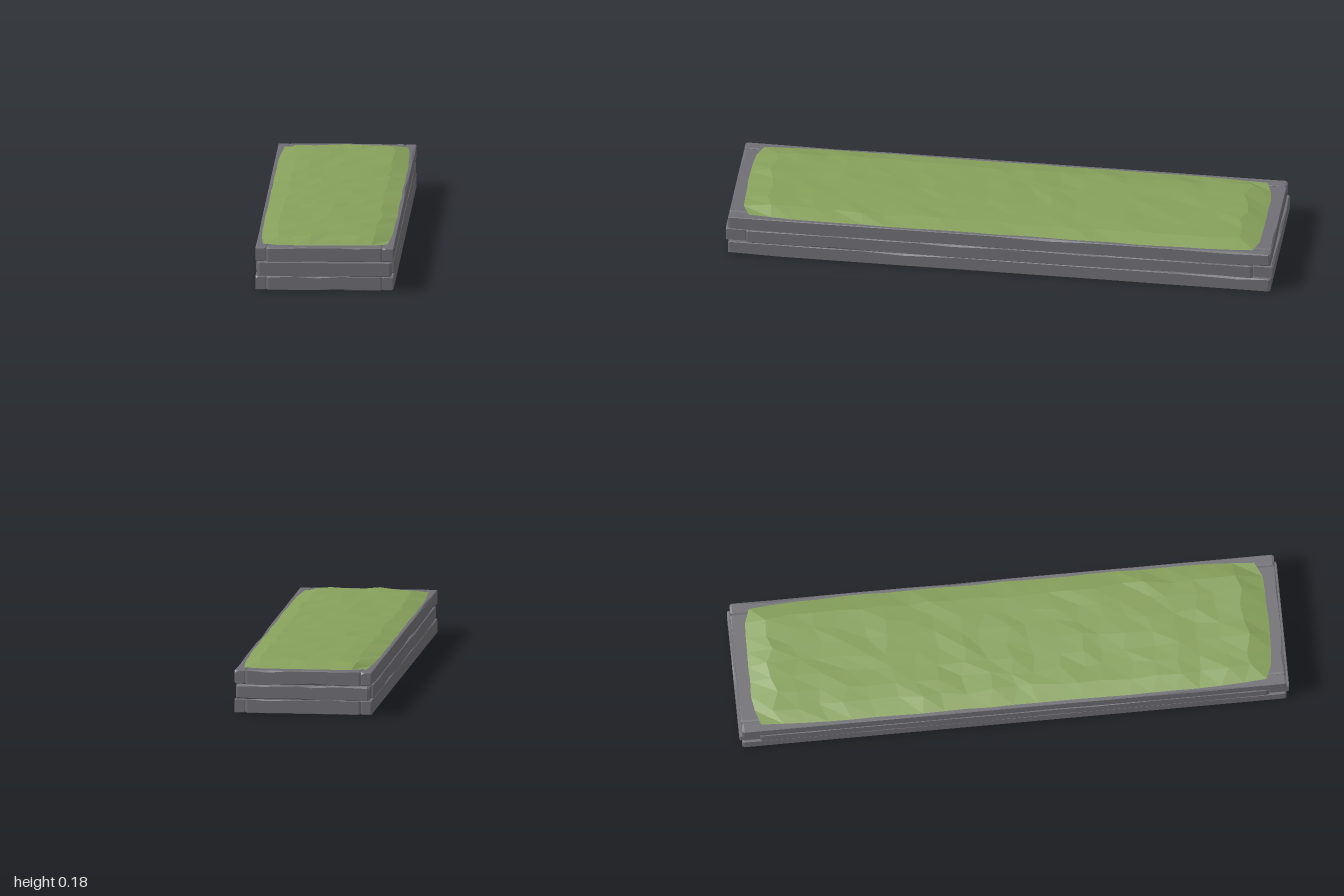
import * as THREE from 'three';

function seeded(seed) {
  let s = seed;
  return () => (s = (s * 16807) % 2147483647) / 2147483647;
}

// Rough-hewn beam along z: chamfered cross-sections lofted along the length
function beamGeometry(w, h, len, segs, rnd) {
  const pos = [], idx = [], N = 8;
  const bevel = Math.min(0.008, w * 0.2);
  const zs = [-len / 2, -len / 2 + bevel];
  for (let i = 1; i < segs; i++) zs.push(len * ((i + (rnd() - 0.5) * 0.5) / segs - 0.5));
  zs.push(len / 2 - bevel, len / 2);
  zs.forEach((z, i) => {
    const end = i === 0 || i === zs.length - 1;
    const a = w / 2 - (end ? 0.003 : 0), b = h / 2 - (end ? 0.003 : 0);
    for (const [sx, sy, flip] of [[1, 1, 0], [-1, 1, 1], [-1, -1, 0], [1, -1, 1]]) {
      // mostly crisp edges with an occasional chip
      const chip = rnd() < 0.2 ? 0.007 : 0.002;
      const cx = chip * (0.6 + rnd()), cy = chip * (0.5 + rnd() * 0.6);
      const side = [sx * a, sy * (b - cy), z], cap = [sx * (a - cx), sy * b, z];
      pos.push(...(flip ? cap : side), ...(flip ? side : cap));
    }
  });
  for (let i = 0; i < zs.length - 1; i++) {
    for (let j = 0; j < N; j++) {
      const k = (j + 1) % N, p = i * N, q = p + N;
      idx.push(p + j, p + k, q + k, p + j, q + k, q + j);
    }
  }
  const last = (zs.length - 1) * N;
  for (let j = 1; j < N - 1; j++) {
    idx.push(0, j + 1, j, last, last + j, last + j + 1);
  }
  const g = new THREE.BufferGeometry();
  g.setAttribute('position', new THREE.Float32BufferAttribute(pos, 3));
  g.setIndex(idx);
  const flat = g.toNonIndexed();
  flat.computeVertexNormals();
  return flat;
}

// Uneven turf sheet with rounded corners, its rim resting on the top beams
function turfGeometry(rnd) {
  const nx = 8, nz = 22;
  const g = new THREE.PlaneGeometry(2, 2, nx, nz).rotateX(-Math.PI / 2);
  const p = g.attributes.position;
  for (let i = 0; i < p.count; i++) {
    const u = p.getX(i), v = p.getZ(i);
    const rim = Math.max(Math.abs(u), Math.abs(v)) > 0.99;
    const jitter = rim ? 0.004 : 0.02;
    const x = u * (0.238 - 0.014 * v ** 8) + (rnd() - 0.5) * jitter;
    const z = v * (0.945 - 0.025 * u ** 6) + (rnd() - 0.5) * jitter * 2;
    const dome = 0.167 + 0.007 * (1 - u * u) + 0.004 * v * v;
    p.setXYZ(i, x, rim ? 0.157 : dome + (rnd() - 0.5) * 0.006, z);
  }
  const flat = g.toNonIndexed();
  flat.computeVertexNormals();
  return flat;
}

export function createModel() {
  const group = new THREE.Group();
  const rnd = seeded(4217);
  const timber = new THREE.MeshStandardMaterial({ color: 0x706f75, flatShading: true });
  timber.name = 'grey timber';
  const grass = new THREE.MeshStandardMaterial({ color: 0x86a05b, flatShading: true, side: THREE.DoubleSide });
  grass.name = 'grass green';

  // Three courses of beams; the corner joints alternate
  for (let row = 0; row < 3; row++) {
    const course = new THREE.Group();
    course.name = ['bottomCourse', 'middleCourse', 'topCourse'][row];
    const mid = row === 1;
    const y = 0.0255 + row * 0.0527;
    const sideLen = mid ? 1.85 : 1.98, endLen = mid ? 0.486 : 0.422;
    const sideX = mid ? 0.231 : 0.23, endZ = mid ? 0.962 : 0.952;
    for (const s of [1, -1]) {
      const side = new THREE.Mesh(beamGeometry(0.04, 0.051, sideLen, 12, rnd), timber);
      side.name = s > 0 ? 'leftBeam' : 'rightBeam';
      side.position.set(s * sideX, y, 0);
      const end = new THREE.Mesh(beamGeometry(0.076, 0.051, endLen, 5, rnd), timber);
      end.name = s > 0 ? 'frontBeam' : 'backBeam';
      end.rotation.y = Math.PI / 2;
      end.position.set(0, y, s * endZ);
      course.add(side, end);
    }
    group.add(course);
  }

  const turf = new THREE.Mesh(turfGeometry(rnd), grass);
  turf.name = 'turf';
  group.add(turf);
  return group;
}
